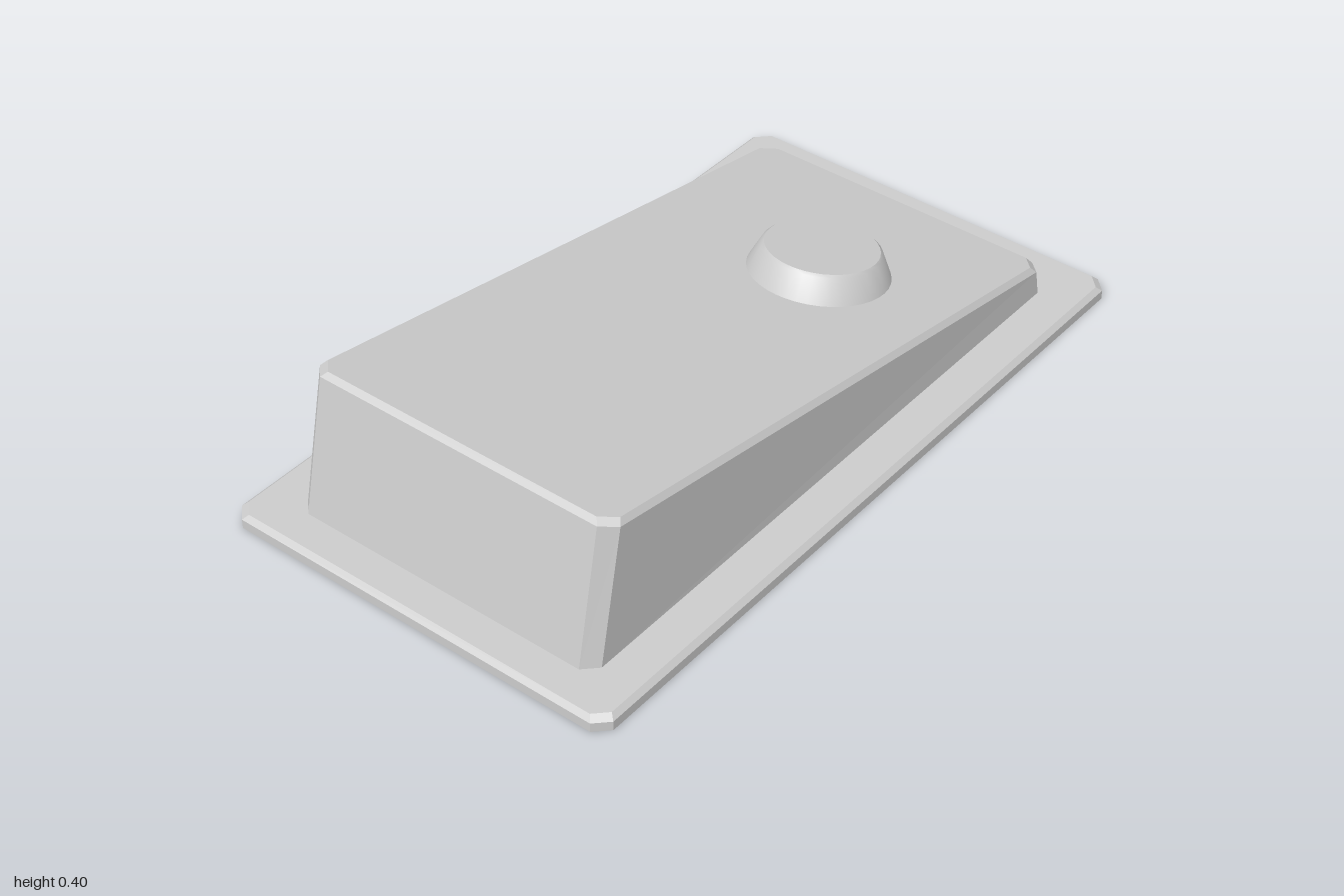
import * as THREE from 'three';
import { toCreasedNormals } from 'three/addons/utils/BufferGeometryUtils.js';

const SLOPE = 0.1737;                      // tilt of the sloping top
const slopeY = (z) => 0.264 + SLOPE * z;   // height of the sloping top at z

// Rectangle with cut corners, counterclockwise from above; height(z) sets y
function ring(halfWidth, front, back, cut, height) {
  const w = halfWidth, v = halfWidth - cut;
  return [
    [-v, front], [v, front], [w, front - cut], [w, back + cut],
    [v, back], [-v, back], [-w, back + cut], [-w, front - cut],
  ].map(([x, z]) => new THREE.Vector3(x, height(z), z));
}

// Thin skin through the rings from bottom to top, optionally closed on top
function loft(rings, closed) {
  const points = [];
  for (let r = 0; r < rings.length; r++) {
    const low = rings[r], high = rings[r + 1], n = low.length;
    for (let i = 0; i < n; i++) {
      const j = (i + 1) % n;
      if (high) points.push(low[i], low[j], high[j], low[i], high[j], high[i]);
      else if (closed && i > 0 && i < n - 1) points.push(low[0], low[i], low[j]);
    }
  }
  const geometry = new THREE.BufferGeometry().setFromPoints(points);
  geometry.computeVertexNormals();
  return geometry;
}

export function createModel() {
  const group = new THREE.Group();
  const material = new THREE.MeshStandardMaterial({ color: 0xcccccc, side: THREE.DoubleSide });
  const add = (name, geometry) => {
    const mesh = new THREE.Mesh(geometry, material);
    mesh.name = name;
    group.add(mesh);
    return mesh;
  };
  const level = (y) => () => y;

  // Base flange: short lip, small bevel, flat top running in to the body
  add('flange', loft([
    ring(0.555, 1, -1, 0.035, level(0)),
    ring(0.555, 1, -1, 0.035, level(0.025)),
    ring(0.542, 0.987, -0.987, 0.033, level(0.037)),
    ring(0.44, 0.9, -0.878, 0.035, level(0.037)),
  ], false));

  // Hollow wedge body, open below, with a bevelled sloping top
  add('wedgeBody', loft([
    ring(0.44, 0.9, -0.878, 0.035, level(0.037)),
    ring(0.437, 0.825, -0.868, 0.035, (z) => slopeY(z) - 0.014),
    ring(0.425, 0.811, -0.856, 0.035, slopeY),
  ], true));

  // Tapered knob standing square to the slope
  const profile = [[0.18, 0], [0.151, 0.062], [0.144, 0.068], [0, 0.068]]
    .map(([r, y]) => new THREE.Vector2(r, y));
  const knob = add('knob', toCreasedNormals(new THREE.LatheGeometry(profile, 40), 0.5));
  knob.position.set(0.075, slopeY(-0.405), -0.405);
  knob.rotation.x = -Math.atan(SLOPE);

  return group;
}
